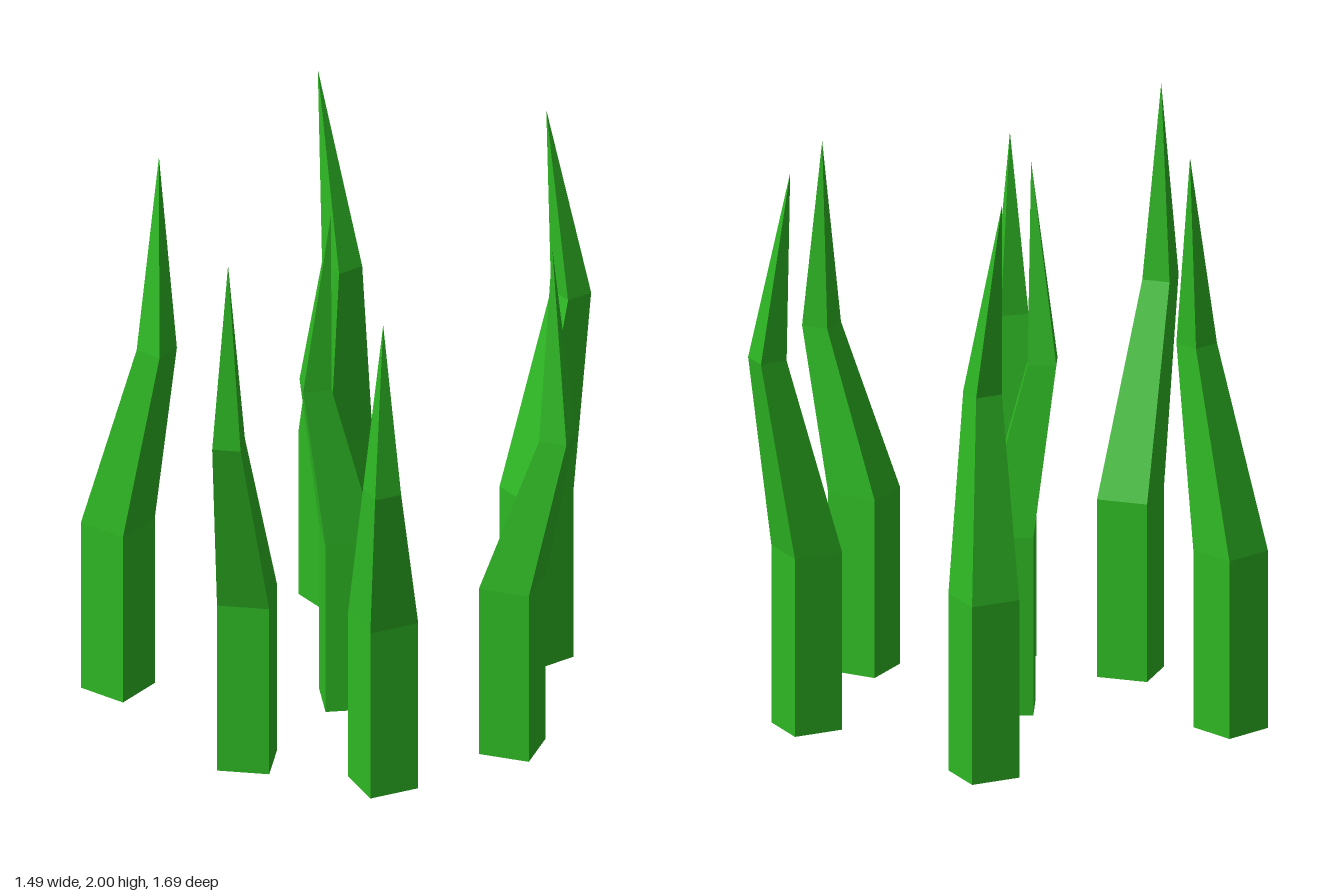
import * as THREE from 'three';

// one blade: root centre, turn in degrees, bend centre (x, y, z), tip (x, y, z)
const BLADES = [
  { root: [0.07, -0.65], turn: 0, bend: [0.055, 1.32, -0.805], tip: [-0.02, 1.99, -0.757] },
  { root: [-0.66, -0.352], turn: 0, bend: [-0.566, 1.31, -0.31], tip: [-0.69, 2, -0.3] },
  { root: [0.555, -0.193], turn: -35, bend: [0.675, 1.19, -0.292], tip: [0.598, 1.86, -0.328] },
  { root: [-0.048, 0.045], turn: 29, bend: [-0.078, 1.21, 0.159], tip: [0.01, 1.89, 0.16] },
  { root: [0.507, 0.308], turn: 11.5, bend: [0.596, 1.16, 0.378], tip: [0.598, 1.79, 0.375] },
  { root: [-0.58, 0.612], turn: -16.5, bend: [-0.432, 1.32, 0.559], tip: [-0.5, 2, 0.5] },
  { root: [0.11, 0.582], turn: 45, bend: [0.261, 1.32, 0.77], tip: [0.265, 2, 0.775] },
];
const SHOULDER = 0.625;
const ROOT_RADIUS = 0.125;
const BEND_RADIUS = 0.068;

// square cross-section as four corners
function ring(x, y, z, radius, turn) {
  return [0, 1, 2, 3].map((k) => {
    const a = THREE.MathUtils.degToRad(turn + 45 + 90 * k);
    return [x + radius * Math.cos(a), y, z + radius * Math.sin(a)];
  });
}

// upright square stalk, leaning taper, then a point; open underneath
function bladeGeometry({ root, turn, bend, tip }) {
  const rings = [
    ring(root[0], 0, root[1], ROOT_RADIUS, turn),
    ring(root[0], SHOULDER, root[1], ROOT_RADIUS, turn),
    ring(...bend, BEND_RADIUS, turn),
  ];
  const points = [];
  for (let k = 0; k < 4; k++) {
    const n = (k + 1) % 4;
    for (let r = 0; r < 2; r++) {
      const lo = rings[r], up = rings[r + 1];
      points.push(lo[k], up[k], up[n], lo[k], up[n], lo[n]);
    }
    points.push(rings[2][k], tip, rings[2][n]);
  }
  const geometry = new THREE.BufferGeometry();
  geometry.setAttribute('position', new THREE.Float32BufferAttribute(points.flat(), 3));
  geometry.computeVertexNormals();
  return geometry;
}

export function createModel() {
  const group = new THREE.Group();
  group.name = 'grassTuft';
  const green = new THREE.MeshStandardMaterial({ color: 0x2eb824, side: THREE.DoubleSide });
  green.name = 'grassGreen';
  green.flatShading = true;

  BLADES.forEach((blade, i) => {
    const mesh = new THREE.Mesh(bladeGeometry(blade), green);
    mesh.name = `grassBlade${i + 1}`;
    group.add(mesh);
  });
  return group;
}
